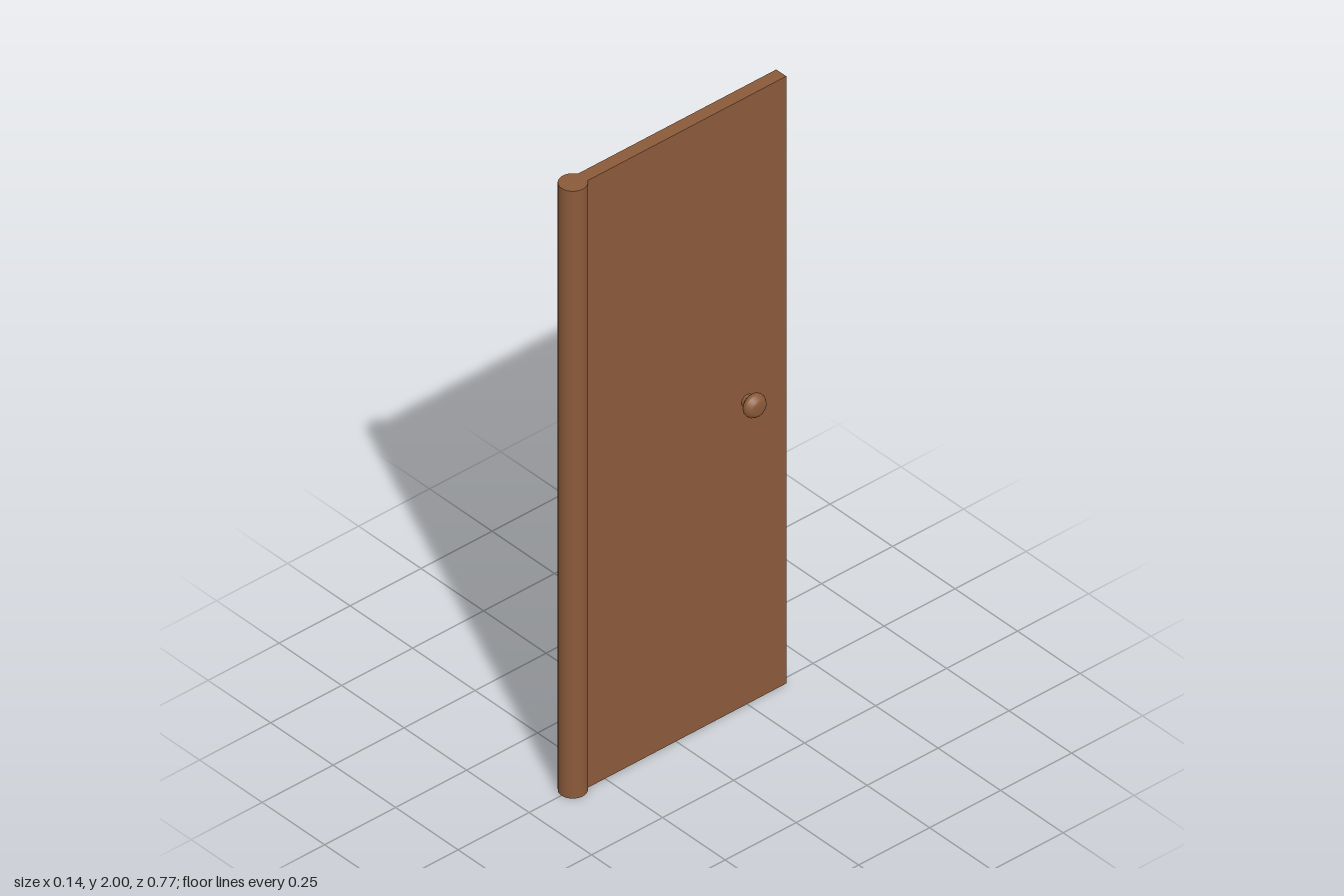
import * as THREE from 'three';

export function createModel() {
  const model = new THREE.Group();
  const wood = new THREE.MeshStandardMaterial({ color: 0x8b5a3a });
  wood.name = 'brown wood';

  const add = (name, geometry, x, y, z, parent = model) => {
    const mesh = new THREE.Mesh(geometry, wood);
    mesh.name = name;
    mesh.position.set(x, y, z);
    parent.add(mesh);
    return mesh;
  };

  // Flat door leaf, its front edge buried in the hinge post
  const back = -0.388, postZ = 0.346;
  add('doorPanel', new THREE.BoxGeometry(0.04, 2, postZ - back), 0, 1, (postZ + back) / 2);

  // Round post the door turns on
  add('hingePost', new THREE.CylinderGeometry(0.04, 0.04, 2, 32), 0, 1, postZ);

  // A turned knob on each face; the profile runs outward from the panel
  const profile = [
    [0, 0.037], [0.03, 0.037], [0.035, 0.042], [0.036, 0.05],
    [0.035, 0.056], [0.028, 0.066], [0.018, 0.07], [0, 0.07],
  ].map(([r, h]) => new THREE.Vector2(r, h));

  for (const side of [1, -1]) {
    const handle = new THREE.Group();
    handle.name = side > 0 ? 'leftHandle' : 'rightHandle';
    handle.position.set(0, 1, -0.25);
    handle.rotation.z = -side * Math.PI / 2;
    add('handleStem', new THREE.CylinderGeometry(0.02, 0.02, 0.03, 24, 1, true), 0, 0.03, 0, handle);
    add('handleKnob', new THREE.LatheGeometry(profile, 24), 0, 0, 0, handle);
    model.add(handle);
  }

  return model;
}
